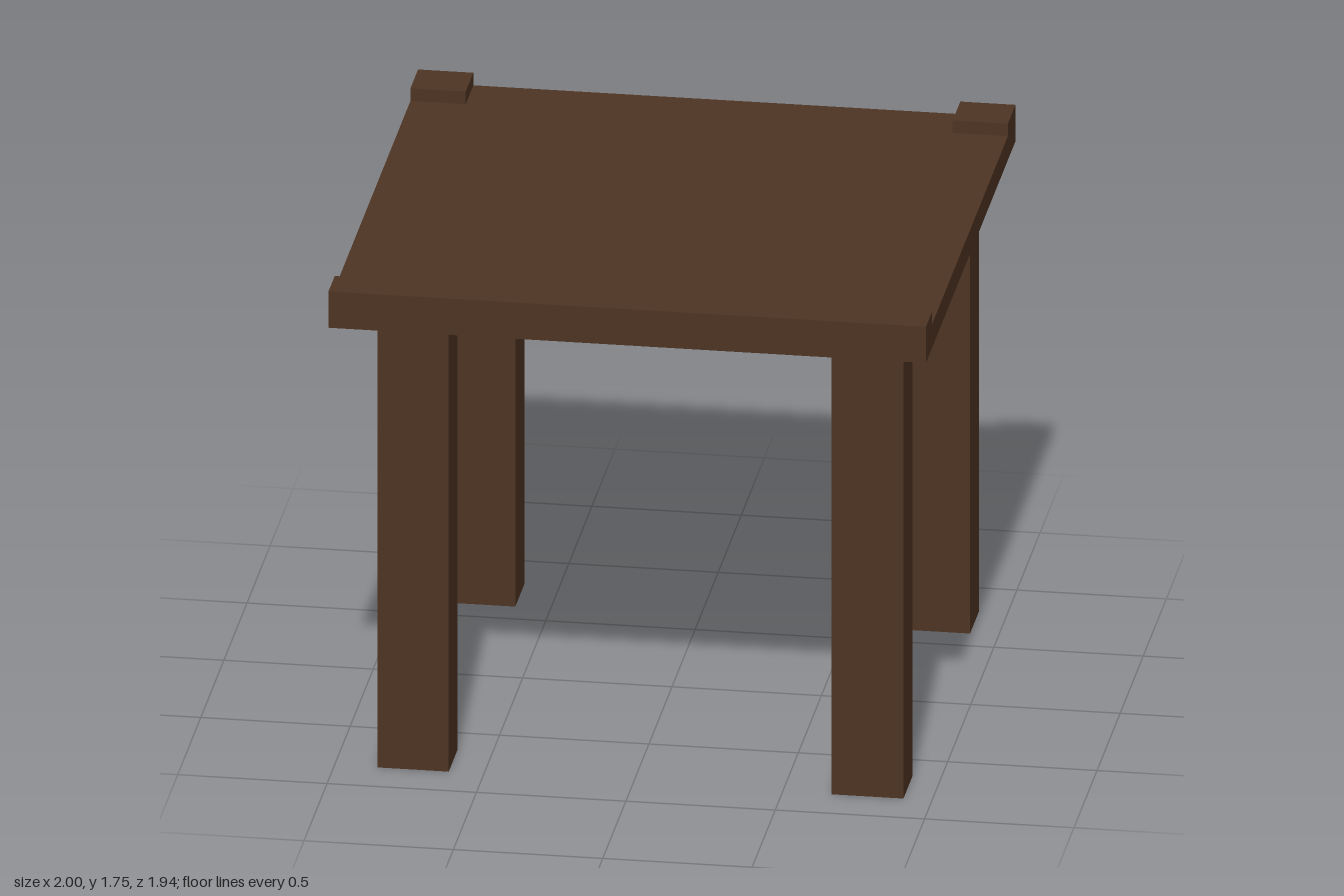
import * as THREE from 'three';

export function createModel() {
  const group = new THREE.Group();
  const darkWood = new THREE.MeshStandardMaterial({ color: 0x4e3423 });

  // Box given by its extents along each axis
  function block(name, [x0, x1], [y0, y1], [z0, z1]) {
    const mesh = new THREE.Mesh(new THREE.BoxGeometry(x1 - x0, y1 - y0, z1 - z0), darkWood);
    mesh.position.set((x0 + x1) / 2, (y0 + y1) / 2, (z0 + z1) / 2);
    mesh.name = name;
    group.add(mesh);
  }

  const underside = 1.62, surface = 1.705, rim = 1.75;

  // Table top with a raised strip along the front edge
  block('tableTop', [-1, 1], [underside, surface], [-0.97, 0.97]);
  block('frontLip', [-1, 1], [surface, rim], [0.835, 0.97]);

  // Raised blocks on the back corners
  block('backRightCorner', [-1, -0.815], [surface, rim], [-0.97, -0.805]);
  block('backLeftCorner', [0.815, 1], [surface, rim], [-0.97, -0.805]);

  // Four rectangular legs, set slightly off centre
  const legX = { Right: [-0.857, -0.618], Left: [0.664, 0.904] };
  const legZ = { front: [0.643, 0.837], back: [-0.8, -0.605] };
  for (const [end, z] of Object.entries(legZ)) {
    for (const [side, x] of Object.entries(legX)) {
      block(`${end}${side}Leg`, x, [0, underside], z);
    }
  }

  return group;
}
